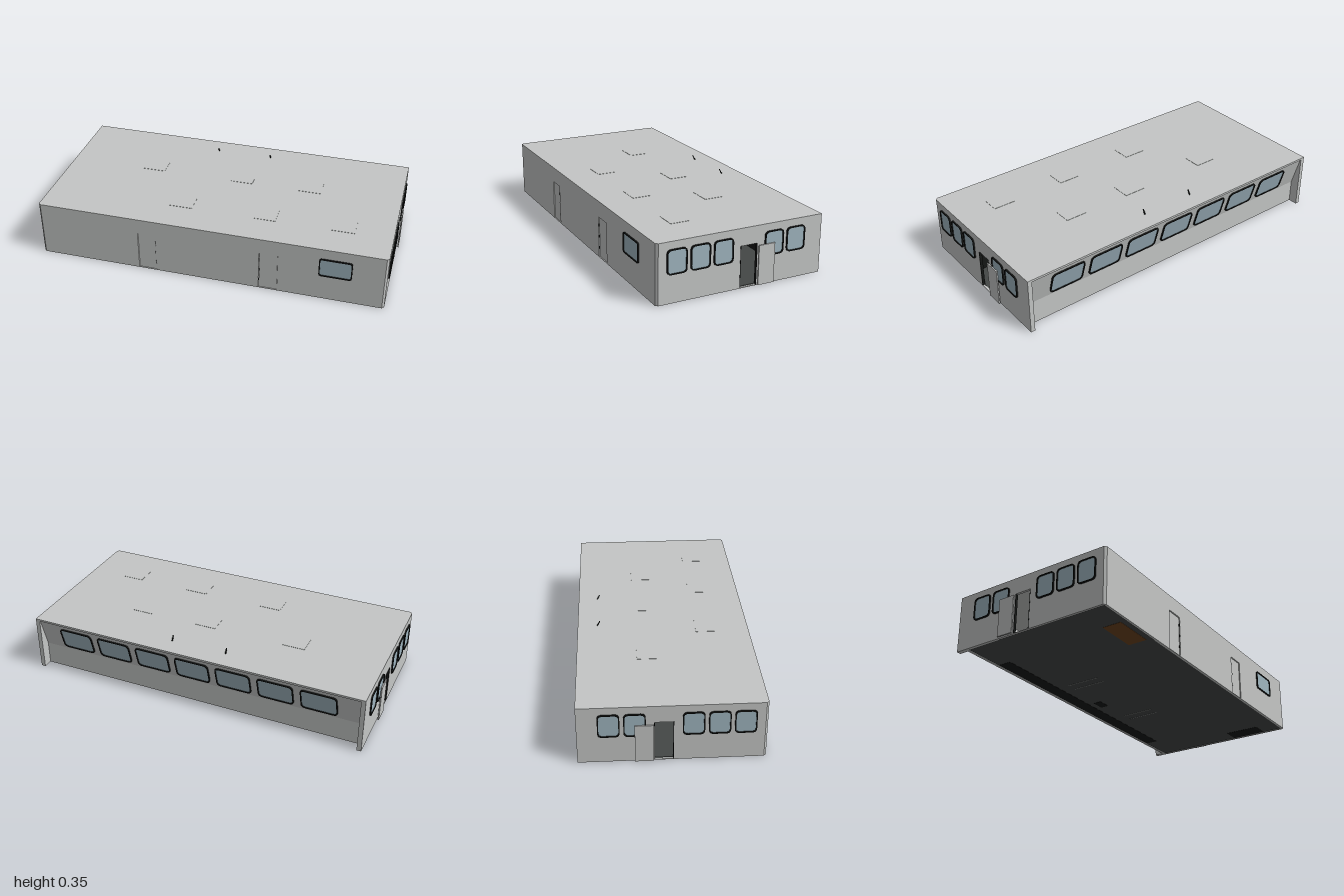
import * as THREE from 'three';

const mat = (name, color) => Object.assign(new THREE.MeshStandardMaterial({ color }), { name });

export function createModel() {
  const wall = mat('wall grey', 0xc4c6c5);
  const glass = mat('glass blue', 0x9fb5bf);
  const black = mat('trim black', 0x151716);
  const deck = mat('deck charcoal', 0x444746);
  const steel = mat('rail grey', 0x8a8c8b);
  const wood = mat('table brown', 0x6e4520);

  const root = new THREE.Group();
  root.name = 'deckhouse';
  const H = 0.325, X = 0.99, FRONT = 0.477, BACK = -0.48, T = 0.014;

  const add = (name, geo, material, parent = root) => {
    const m = new THREE.Mesh(geo, material);
    m.name = name;
    parent.add(m);
    return m;
  };
  // box given by its minimum and maximum corners
  const box = (name, a, b, material) => {
    const m = add(name, new THREE.BoxGeometry(b[0] - a[0], b[1] - a[1], b[2] - a[2]), material);
    m.position.set((a[0] + b[0]) / 2, (a[1] + b[1]) / 2, (a[2] + b[2]) / 2);
    return m;
  };
  const poly = (pts, C = THREE.Shape) => new C(pts.map(p => new THREE.Vector2(...p)));
  const rect = (x0, y0, x1, y1, C) => poly([[x0, y0], [x1, y0], [x1, y1], [x0, y1]], C);
  const extrude = (shape, depth) =>
    new THREE.ExtrudeGeometry(shape, { depth, bevelEnabled: false, curveSegments: 5 });

  // rounded rectangle centred on the origin
  const rounded = (w, h, r, C = THREE.Shape) => {
    const s = new C(), x = w / 2, y = h / 2;
    s.moveTo(-x + r, -y);
    s.lineTo(x - r, -y); s.quadraticCurveTo(x, -y, x, -y + r);
    s.lineTo(x, y - r); s.quadraticCurveTo(x, y, x - r, y);
    s.lineTo(-x + r, y); s.quadraticCurveTo(-x, y, -x, y - r);
    s.lineTo(-x, -y + r); s.quadraticCurveTo(-x, -y, -x + r, -y);
    return s;
  };
  // framed window, facing local +z
  const windowUnit = (name, w, h, r, pos, turn, tilt = 0) => {
    const g = new THREE.Group(), e = 0.006;
    g.name = name;
    const frame = rounded(w, h, r);
    frame.holes.push(rounded(w - 2 * e, h - 2 * e, r - e / 2, THREE.Path));
    add('windowFrame', extrude(frame, 0.009), black, g);
    add('windowPane', extrude(rounded(w - e, h - e, r), 0.004), glass, g);
    g.position.set(...pos);
    g.rotation.set(tilt, turn, 0, 'YXZ');
    root.add(g);
  };

  // roof and floor share a plan with clipped front corners
  const plan = (name, y, t, inset, back, material) => {
    const x = X - inset, z = FRONT - inset;
    const s = poly([[-x, -back], [-x, -z + 0.012], [-x + 0.012, -z],
      [x - 0.012, -z], [x, -z + 0.012], [x, -back]]);
    add(name, extrude(s, t).rotateX(-Math.PI / 2).translate(0, y, 0), material);
  };
  plan('roof', H - 0.012, 0.012, 0, BACK, wall);
  plan('floor', 0.003, 0.004, 0.012, -0.415, deck);

  // front wall with two door openings
  const front = rect(-X + 0.012, 0, X - 0.012, H - 0.012);
  for (const s of [-1, 1]) {
    const a = Math.min(s * 0.295, s * 0.4);
    front.holes.push(rect(a, 0.003, a + 0.105, 0.234, THREE.Path));
    box('frontDoor', [a + 0.002, 0.004, FRONT - T], [a + 0.103, 0.231, FRONT - 0.005], wall);
    for (const y of [0.05, 0.115, 0.18])
      box('doorHinge', [s * 0.297 - 0.002, y, FRONT - 0.006],
        [s * 0.297 + 0.002, y + 0.015, FRONT + 0.001], black);
  }
  add('frontWall', extrude(front, T).translate(0, 0, FRONT - T), wall);
  windowUnit('frontWindow', 0.18, 0.112, 0.016, [0.715, 0.21, FRONT - 0.001], 0);

  // side walls, clipped front corners, windows and sliding doors
  for (const s of [-1, 1]) {
    const side = rect(BACK, 0, FRONT - 0.012, H - 0.012);
    side.holes.push(rect(-0.092, 0.004, 0.006, 0.23, THREE.Path));
    add('sideWall', extrude(side, T).rotateY(-Math.PI / 2)
      .translate(s > 0 ? X : -X + T, 0, 0), wall);

    const corner = poly([[s * X, -FRONT + 0.012], [s * (X - 0.012), -FRONT],
      [s * (X - 0.012), -FRONT + T], [s * (X - T), -FRONT + 0.014]]);
    add('cornerPost', extrude(corner, H - 0.012).rotateX(-Math.PI / 2), wall);

    for (const z of [0.365, 0.235, 0.105, -0.19, -0.32])
      windowUnit('sideWindow', 0.111, 0.132, 0.024, [s * (X - 0.001), 0.219, z], s * Math.PI / 2);

    // door leaf slid open toward the back
    const leaf = add('slidingDoor', new THREE.BoxGeometry(0.007, 0.216, 0.094), wall);
    leaf.position.set(s * 0.9995, 0.112, -0.143);

    // dark lining of the door opening
    for (const z of [-0.091, 0.005]) {
      const jamb = add('doorJamb', new THREE.BoxGeometry(T + 0.002, 0.226, 0.003), black);
      jamb.position.set(s * (X - T / 2), 0.117, z);
    }
    const x0 = s > 0 ? 0.965 : -X;
    box('backPost', [x0, 0, BACK], [x0 + 0.025, H - 0.012, -0.41], wall);
  }

  // back wall: upright below, leaning outward above
  const profile = poly([[-0.425, 0], [-0.41, 0], [-0.41, 0.135],
    [-0.46, H - 0.012], [-0.475, H - 0.012], [-0.425, 0.135]]);
  add('backWall', extrude(profile, 1.95).rotateY(-Math.PI / 2).translate(0.975, 0, 0), wall);
  const tilt = Math.atan2(0.05, 0.178);
  for (let i = -3; i <= 3; i++)
    windowUnit('backWindow', 0.205, 0.142, 0.026, [i * 0.245, 0.221, -0.448], Math.PI, tilt);

  // low panels on the roof
  for (const [x, z] of [[-0.14, 0.29], [0.34, 0.29], [0.78, 0.29],
    [-0.415, -0.05], [0.125, -0.05], [0.53, -0.05]])
    box('roofPanel', [x - 0.13, H - 0.002, z - 0.11], [x, H + 0.0015, z], wall);

  // slanted roof rods
  for (const x of [-0.165, 0.16]) {
    const rod = add('roofRod', new THREE.BoxGeometry(0.006, 0.032, 0.004), black);
    rod.position.set(x, 0.338, -0.363);
    rod.rotation.x = 0.5;
  }

  // furniture standing through the deck
  box('console', [-0.74, 0.002, -0.405], [0.74, 0.12, -0.33], black);
  box('helmStand', [-0.02, 0.002, -0.295], [0.06, 0.11, -0.245], black);
  box('sideCabinet', [0.87, 0.002, 0.13], [0.97, 0.1, 0.34], black);
  box('table', [-0.79, 0.002, 0.32], [-0.555, 0.09, 0.43], wood);
  for (const x of [-0.31, -0.25, 0.25, 0.31])
    box('seatRail', [x - 0.003, 0.002, -0.26], [x + 0.003, 0.009, -0.06], steel);

  return root;
}
